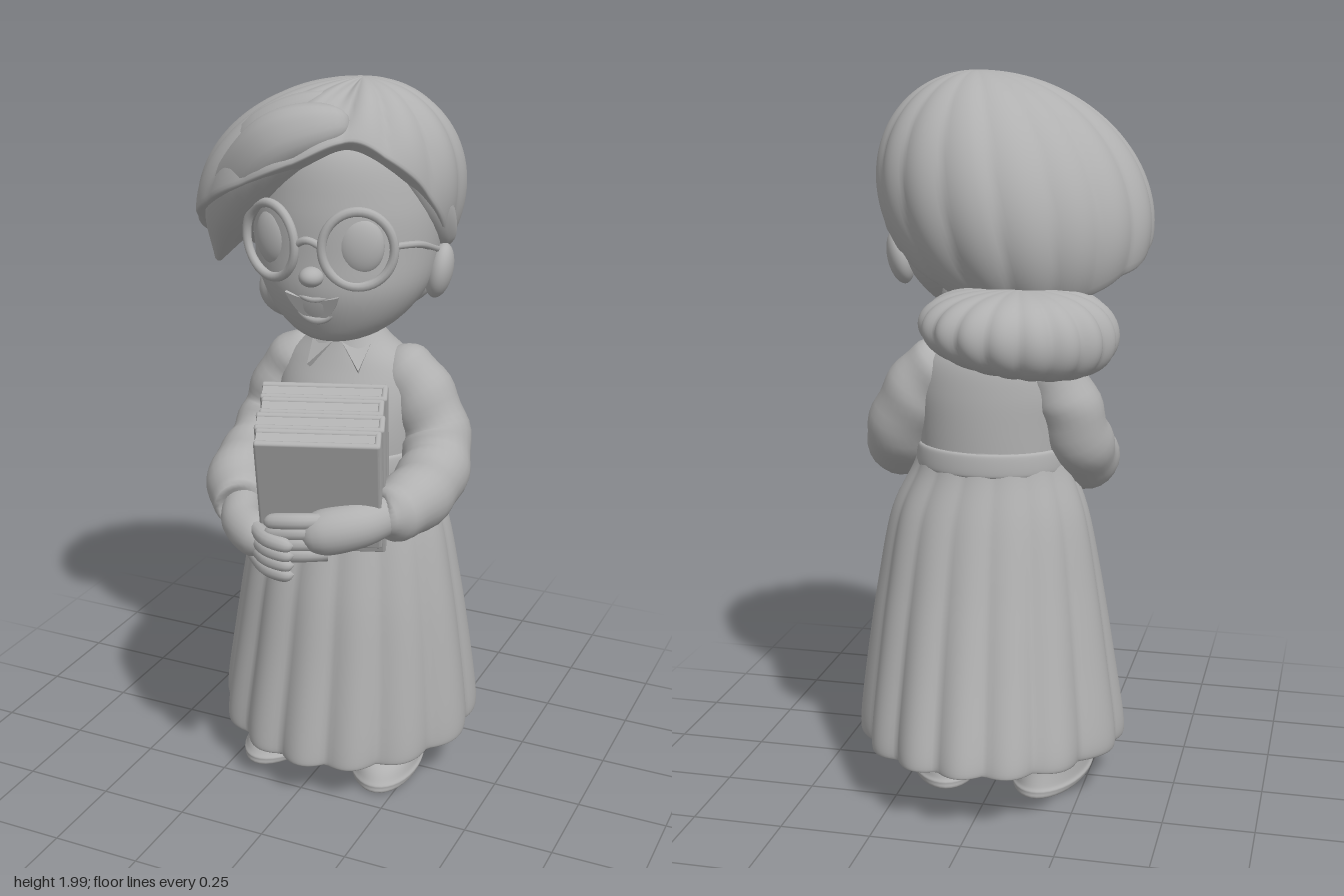
import * as THREE from 'three';
import { RoundedBoxGeometry } from 'three/addons/geometries/RoundedBoxGeometry.js';

const V = (x, y, z) => new THREE.Vector3(x, y, z);
const TAU = Math.PI * 2;

// Closed surface: a runs around, v runs along, point(a, v) gives a Vector3
function grid(around, along, point) {
  const pos = [], idx = [];
  for (let i = 0; i <= along; i++) {
    for (let j = 0; j < around; j++) pos.push(...point((j / around) * TAU, i / along).toArray());
  }
  for (let i = 0; i < along; i++) {
    for (let j = 0; j < around; j++) {
      const a = i * around + j, b = i * around + ((j + 1) % around);
      idx.push(a, b, a + around, b, b + around, a + around);
    }
  }
  const g = new THREE.BufferGeometry();
  g.setAttribute('position', new THREE.Float32BufferAttribute(pos, 3));
  g.setIndex(idx);
  g.computeVertexNormals();
  return g;
}

const spline = (pts) => new THREE.CatmullRomCurve3(pts, false, 'catmullrom', 0.5);

// Stack of ellipses, bottom to top: rows of [y, centre x, centre z, radius x, radius z]
function loft(rows, around = 40, along = 32, swell = () => 1, lift = () => 0, pinch = () => 1) {
  const mid = spline(rows.map((r) => V(r[1], r[0], r[2])));
  const rad = spline(rows.map((r) => V(r[3], 0, r[4])));
  return grid(around, along, (a, v) => {
    const c = mid.getPoint(v), r = rad.getPoint(v), k = swell(a, v);
    return V(c.x + r.x * k * pinch(a, v) * Math.sin(a), c.y + lift(a, v), c.z + r.z * k * Math.cos(a));
  });
}

// Round strand of varying thickness: points of [x, y, z, radius]
function strand(pts, ref = V(1, 0, 0), swell = () => 1, around = 24, along = 40) {
  const mid = spline(pts.map((p) => V(p[0], p[1], p[2])));
  const rad = spline(pts.map((p) => V(p[3], 0, 0)));
  return grid(around, along, (ang, v) => {
    const t = mid.getTangent(v), r = Math.max(rad.getPoint(v).x, 0.001) * swell(ang, v);
    const a = ref.clone().cross(t).normalize(), b = t.clone().cross(a);
    return mid.getPoint(v).addScaledVector(a, r * Math.cos(ang)).addScaledVector(b, r * Math.sin(ang));
  });
}

export function createModel() {
  const model = new THREE.Group();
  const clay = new THREE.MeshStandardMaterial({ color: 0xb0b0b0, side: THREE.DoubleSide });
  clay.name = 'grey clay';

  const add = (name, geo, pos = [0, 0, 0], rot = [0, 0, 0], scale = [1, 1, 1], parent = model) => {
    const m = new THREE.Mesh(geo, clay);
    m.name = name;
    m.position.set(...pos);
    m.rotation.set(...rot);
    m.scale.set(...scale);
    parent.add(m);
  };
  const ball = (name, pos, radii, rot) => add(name, new THREE.SphereGeometry(1, 32, 20), pos, rot, radii);

  // Shoes and ankles, toes turned out
  for (const [x, turn] of [[-0.15, -0.12], [0.165, 0.22]]) {
    add('shoe', loft([
      [0.01, 0, 0, 0.002, 0.002], [0.01, 0, 0, 0.085, 0.18], [0.03, 0, 0, 0.105, 0.2], [0.045, 0, 0, 0.1, 0.193],
      [0.08, 0, -0.01, 0.095, 0.172], [0.115, 0, -0.045, 0.085, 0.13], [0.17, 0, -0.09, 0.07, 0.085],
    ]), [x, 0, 0], [0, turn, 0]);
    add('ankle', new THREE.CylinderGeometry(0.08, 0.065, 0.35, 24), [x, 0.32, -0.09]);
  }

  // Pleated skirt, hem dipping at the front and narrowing behind
  add('skirt', loft([
    [0.45, 0.02, -0.065, 0.3, 0.28], [0.2, 0.02, -0.075, 0.34, 0.34], [0.15, 0.02, -0.075, 0.365, 0.372], [0.2, 0.02, -0.075, 0.372, 0.37],
    [0.4, 0.025, -0.062, 0.346, 0.322], [0.6, 0.028, -0.05, 0.315, 0.274], [0.8, 0.028, -0.043, 0.276, 0.218],
    [0.93, 0.02, -0.035, 0.222, 0.178], [1.0, 0.02, -0.035, 0.2, 0.165],
  ], 168, 56,
  (a, v) => 1 + 0.1 * (1 - v * 0.85) * (Math.abs(Math.cos(a * 7 + 0.5 * Math.sin(a * 2))) - 0.62),
  (a, v) => -0.048 * Math.cos(a) * Math.max(0, 1 - v * 1.6),
  (a, v) => 1 - 0.1 * (1 - v) * THREE.MathUtils.smoothstep(-Math.cos(a), 0, 0.4)));

  // Torso, waistband, neck and collar
  add('torso', loft([
    [0.92, 0.02, -0.035, 0.2, 0.165], [1.05, 0.02, -0.035, 0.205, 0.165], [1.15, 0.02, -0.045, 0.205, 0.15],
    [1.23, 0.02, -0.055, 0.18, 0.125], [1.29, 0.02, -0.05, 0.115, 0.095], [1.33, 0.02, -0.045, 0.08, 0.078],
  ]));
  add('waistband', loft([
    [0.93, 0.02, -0.035, 0.2, 0.165], [0.94, 0.02, -0.035, 0.213, 0.178],
    [0.99, 0.02, -0.035, 0.21, 0.173], [1.0, 0.02, -0.035, 0.195, 0.16],
  ]));
  add('neck', new THREE.CylinderGeometry(0.065, 0.07, 0.2, 28), [0.025, 1.35, -0.04]);
  add('collar band', new THREE.TorusGeometry(0.076, 0.016, 10, 36), [0.02, 1.315, -0.045], [Math.PI / 2, 0, 0]);
  for (const s of [-1, 1]) {
    const flap = new THREE.Shape([[0, 0.04], [s * 0.085, 0.05], [s * 0.075, -0.04]].map((p) => new THREE.Vector2(...p)));
    add('collar flap', new THREE.ExtrudeGeometry(flap, { depth: 0.015, bevelEnabled: false }), [0.02, 1.265, 0.055], [-0.75, s * 0.3, 0]);
  }

  // Sleeves with soft folds
  const folds = (a, v) => 1 + 0.04 * Math.sin(v * 46 + 1.5 * Math.sin(a));
  add('left sleeve', strand([
    [0.12, 1.25, -0.06, 0.01], [0.16, 1.22, -0.06, 0.075], [0.225, 1.14, -0.06, 0.092], [0.28, 1.03, -0.04, 0.094],
    [0.305, 0.96, 0.05, 0.094], [0.31, 0.945, 0.2, 0.088], [0.285, 0.94, 0.31, 0.07], [0.275, 0.94, 0.325, 0.01],
  ], undefined, folds));
  add('right sleeve', strand([
    [-0.08, 1.25, -0.06, 0.01], [-0.12, 1.22, -0.06, 0.075], [-0.18, 1.14, -0.06, 0.09], [-0.215, 1.03, -0.04, 0.092],
    [-0.22, 0.95, 0.05, 0.094], [-0.2, 0.925, 0.2, 0.09], [-0.14, 0.9, 0.32, 0.07], [-0.13, 0.9, 0.33, 0.01],
  ], undefined, folds));

  // Hands clasping the books
  const up = V(0, 1, 0);
  add('left palm', strand([[0.29, 0.94, 0.28, 0.05], [0.23, 0.93, 0.38, 0.06], [0.14, 0.91, 0.43, 0.056], [0.09, 0.9, 0.44, 0.005]], up));
  add('right palm', strand([[-0.15, 0.9, 0.28, 0.05], [-0.1, 0.88, 0.38, 0.056], [-0.02, 0.865, 0.43, 0.054], [0.03, 0.86, 0.44, 0.005]], up));
  for (let i = 0; i < 4; i++) {
    const y = 0.95 - i * 0.03;
    add('left finger', strand([[0.17, y, 0.43, 0.02], [0.1, y, 0.465, 0.022], [0.03, y - 0.01, 0.47, 0.02], [0.01, y - 0.01, 0.465, 0.002]], up, undefined, 12, 14));
    const w = 0.9 - i * 0.027;
    add('right finger', strand([[-0.04, w, 0.43, 0.02], [0.02, w - 0.005, 0.48, 0.022], [0.08, w - 0.01, 0.49, 0.02], [0.1, w - 0.01, 0.485, 0.002]], up, undefined, 12, 14));
  }

  // Leaning stack of books, the front ones shorter: pages between two covers
  const books = new THREE.Group();
  books.name = 'books';
  books.position.set(0.095, 1.01, 0.295);
  books.rotation.set(0.38, 0.35, 0, 'YXZ');
  model.add(books);
  [-0.215, -0.225, -0.215, -0.13].forEach((bottom, i) => {
    const z = -0.1 + i * 0.067, w = 0.325 - (i % 2) * 0.012;
    const top = 0.21 + i * 0.007, h = top - bottom, y = (top + bottom) / 2;
    add('pages', new THREE.BoxGeometry(w - 0.008, h - 0.008, 0.05), [0, y, z], [0, 0, 0], [1, 1, 1], books);
    for (const s of [-1, 1]) add('cover', new RoundedBoxGeometry(w, h, 0.018, 2, 0.007), [0, y, z + s * 0.023], [0, 0, 0], [1, 1, 1], books);
    add('spine', new RoundedBoxGeometry(0.016, h, 0.062, 2, 0.007), [w / 2 - 0.006, y, z], [0, 0, 0], [1, 1, 1], books);
  });

  // Head
  add('head', loft([
    [1.325, 0.035, 0.08, 0.002, 0.002], [1.335, 0.035, 0.075, 0.085, 0.09], [1.385, 0.035, 0.05, 0.165, 0.155], [1.47, 0.035, 0.02, 0.225, 0.215],
    [1.57, 0.03, 0, 0.25, 0.235], [1.7, 0.025, -0.01, 0.255, 0.24], [1.84, 0.02, -0.02, 0.22, 0.215], [1.93, 0.02, -0.03, 0.1, 0.1],
  ], 48, 40));
  ball('left ear', [0.275, 1.5, -0.045], [0.036, 0.075, 0.058], [0, 0.3, -0.2]);
  ball('right ear', [-0.215, 1.5, -0.045], [0.036, 0.075, 0.058], [0, -0.3, 0.2]);
  ball('nose', [0.037, 1.525, 0.24], [0.032, 0.026, 0.036]);

  // Eyes and round spectacles
  for (const s of [-1, 1]) {
    const x = 0.028 + s * 0.123, turn = s * 0.38;
    ball('eye', [x, 1.605, 0.187], [0.06, 0.075, 0.03], [0, turn, 0]);
    add('spectacle rim', new THREE.TorusGeometry(0.092, 0.012, 10, 44), [x, 1.6, 0.207], [0.04, turn, 0], [1, 1.06, 1]);
    add('spectacle arm', strand([[x + s * 0.088, 1.61, 0.17, 0.009], [x + s * 0.12, 1.6, 0.09, 0.009], [x + s * 0.125, 1.56, -0.03, 0.009]], up, undefined, 8, 12));
  }
  add('spectacle bridge', strand([[-0.015, 1.6, 0.235, 0.01], [0.028, 1.62, 0.245, 0.01], [0.071, 1.6, 0.235, 0.01]], up, undefined, 8, 10));

  // Smiling mouth: open crescent with lips
  const smile = new THREE.Shape();
  smile.moveTo(-0.075, 0.025);
  smile.quadraticCurveTo(0, -0.005, 0.075, 0.025);
  smile.quadraticCurveTo(0.05, -0.05, 0, -0.05);
  smile.quadraticCurveTo(-0.05, -0.05, -0.075, 0.025);
  add('mouth', new THREE.ExtrudeGeometry(smile, { depth: 0.008, bevelEnabled: false, curveSegments: 12 }), [0.035, 1.455, 0.222], [0.3, 0, 0]);
  add('lower lip', strand([[-0.04, 1.475, 0.212, 0.004], [-0.01, 1.42, 0.208, 0.008], [0.035, 1.403, 0.212, 0.011], [0.08, 1.42, 0.208, 0.008], [0.11, 1.475, 0.212, 0.004]], V(0, 0, 1), undefined, 10, 20));
  add('upper lip', strand([[-0.04, 1.48, 0.214, 0.004], [0.035, 1.463, 0.232, 0.008], [0.11, 1.48, 0.214, 0.004]], V(0, 0, 1), undefined, 10, 16));

  // Hair shell: height of the hairline every 30 degrees, from the front towards the left side
  const line = [1.81, 1.87, 1.77, 1.57, 1.5, 1.41, 1.37, 1.39, 1.46, 1.52, 1.62, 1.72];
  const hairline = new THREE.CatmullRomCurve3(line.map((y, i) => V(i, y, 0)).concat(V(12, line[0], 0)));
  add('hair', grid(180, 44, (a, v) => {
    const edge = Math.acos((hairline.getPoint(a / TAU).y - 1.66) / 0.34);
    const s = Math.min(1, (1 - v) / 0.9), tuck = v < 0.1 ? 0.8 + 0.2 * Math.sqrt(v / 0.1) : 1;
    const part = 0.05 * Math.exp(-Math.pow((a - 0.3) / 0.16, 2)) * Math.sin(Math.PI * Math.min(1, s * 1.1));
    const lobes = 0.04 * Math.sqrt(s) * Math.sin(Math.PI * Math.min(1, s * 0.85)) * (Math.abs(Math.cos(a * 8 + s * 1.4)) - 0.6);
    const k = tuck * (1 + lobes - part), p = edge * s;
    const slim = 1 - 0.1 * Math.max(0, -Math.sin(a)) * Math.max(0, -Math.cos(a));
    const y = 0.335 * Math.cos(p) * k;
    return V(-0.04 + 0.36 * slim * Math.sin(p) * Math.sin(a) * k + 0.2 * (y - 0.04) + 0.05 * (1 - s) * (1 - s),
      1.66 + y, -0.05 + 0.33 * slim * Math.sin(p) * Math.cos(a) * k + 0.14 * y);
  }));

  // Swept locks framing the face
  const lock = (pts) => add('hair lock', strand(pts, V(0, 0, 1), (a) => 1 + 0.03 * Math.cos(a * 5)));
  lock([[0.1, 1.9, 0.14, 0.01], [0.06, 1.895, 0.17, 0.06], [-0.06, 1.85, 0.185, 0.088], [-0.17, 1.75, 0.15, 0.09], [-0.27, 1.63, 0.08, 0.075], [-0.35, 1.48, 0.02, 0.01]]);
  lock([[0.1, 1.92, 0.06, 0.01], [0, 1.915, 0.1, 0.06], [-0.13, 1.84, 0.11, 0.085], [-0.235, 1.73, 0.06, 0.08], [-0.32, 1.62, 0.02, 0.068], [-0.38, 1.54, 0, 0.01]]);
  lock([[0.09, 1.92, 0.1, 0.01], [0.14, 1.885, 0.1, 0.05], [0.21, 1.815, 0.06, 0.065], [0.255, 1.7, 0, 0.06], [0.27, 1.6, -0.07, 0.04], [0.27, 1.55, -0.1, 0.005]]);

  // Low scalloped bun, fuller on its right, and its gather at the nape
  add('bun', grid(160, 30, (a, v) => {
    const p = Math.PI * (1 - v), ring = Math.pow(Math.sin(p), 0.62), k = 1 + 0.06 * Math.sin(p) * (Math.abs(Math.cos(a * 9)) - 0.6);
    const x = 0.245 * k * ring * Math.sin(a), z = 0.205 * k * ring * Math.cos(a);
    return V(-0.115 + x, 1.36 + 0.105 * k * Math.cos(p) * (1 - 0.6 * x) + 0.06 * z + 0.08 * x, -0.317 + z - 0.12 * x);
  }));
  ball('hair gather', [-0.04, 1.43, -0.22], [0.15, 0.09, 0.1]);

  return model;
}
